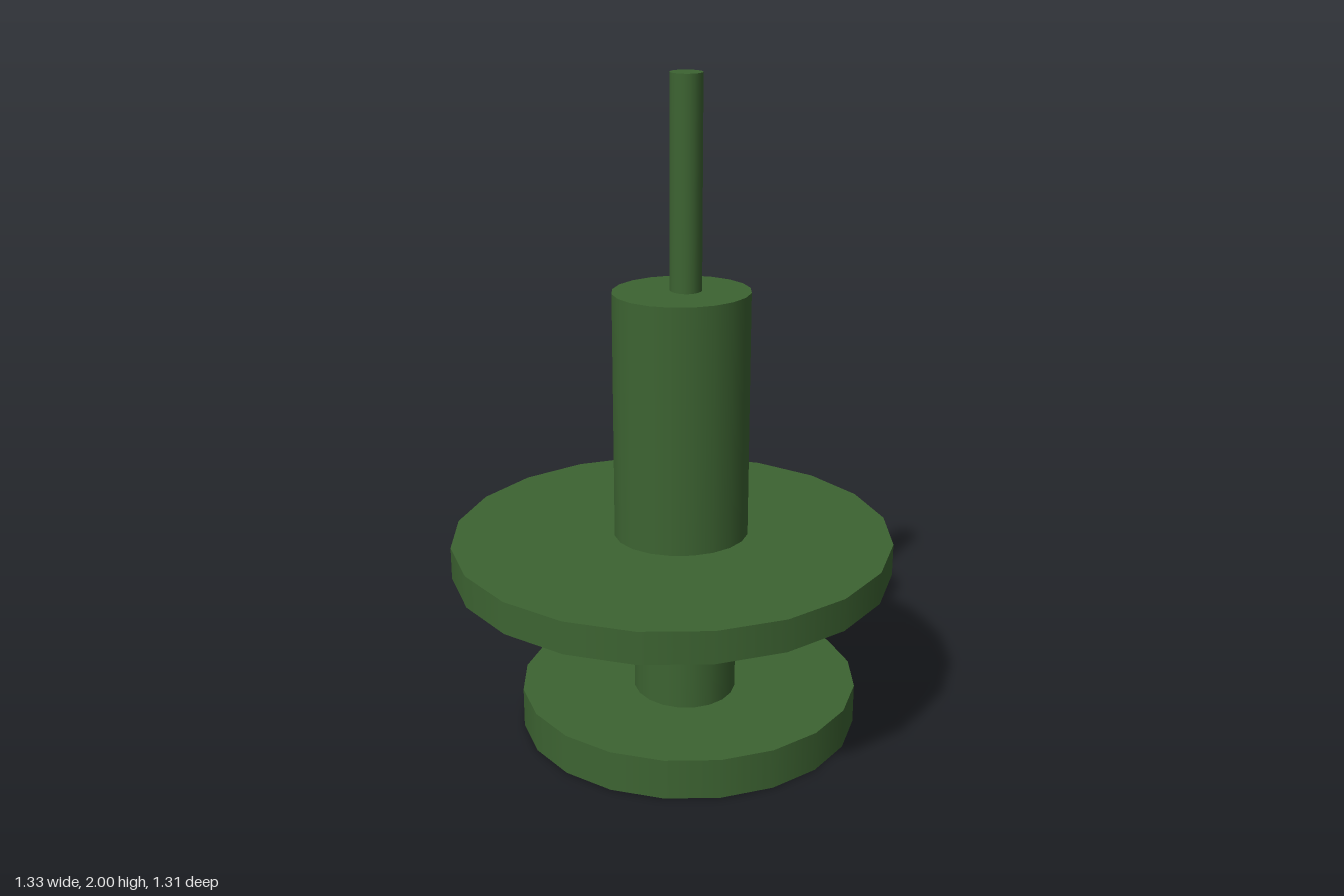
import * as THREE from 'three';

export function createModel() {
  const group = new THREE.Group();
  const material = new THREE.MeshStandardMaterial({ color: 0x3d6432 });

  // Upright, slightly oval cylinder between two heights
  function addDrum(name, y0, y1, x, z, rx, rz) {
    const geometry = new THREE.CylinderGeometry(1, 1, y1 - y0, 20);
    geometry.scale(rx, 1, rz);
    const mesh = new THREE.Mesh(geometry, material);
    mesh.name = name;
    mesh.position.set(x, (y0 + y1) / 2, z);
    group.add(mesh);
  }

  // Stack from the ground up, each piece a little off-centre
  addDrum('base', 0, 0.125, 0.058, -0.029, 0.521, 0.503);
  addDrum('neck', 0.125, 0.526, 0.039, 0.002, 0.157, 0.169);
  addDrum('wideDisc', 0.534, 0.632, 0, 0, 0.665, 0.655);
  addDrum('body', 0.638, 1.385, 0.027, 0.005, 0.203, 0.184);
  addDrum('pin', 1.385, 2, 0.041, -0.007, 0.047, 0.052);

  return group;
}
